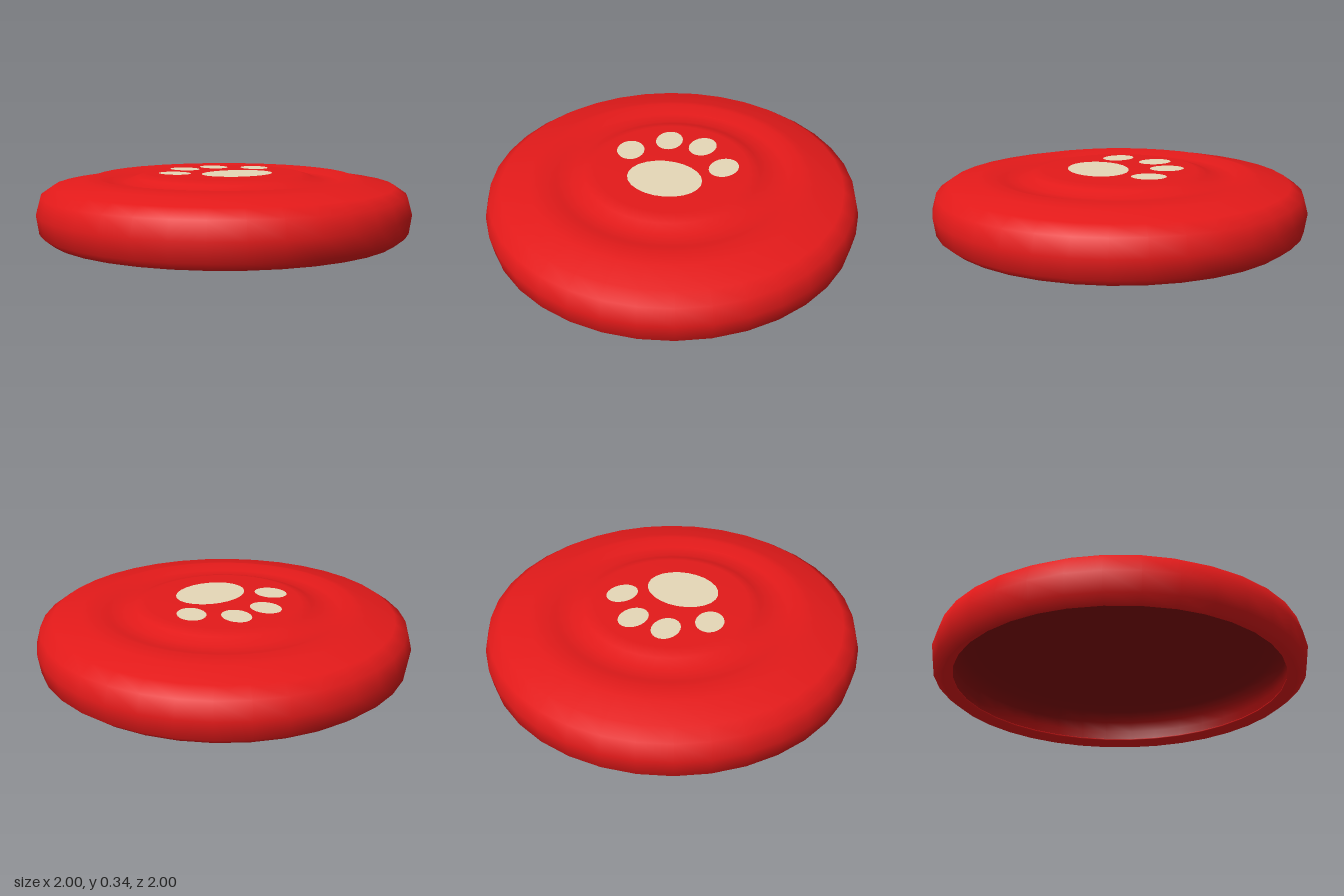
import * as THREE from 'three';

export function createModel() {
  const group = new THREE.Group();
  group.name = 'flyingDisc';
  const makeMaterial = (name, color) => {
    const material = new THREE.MeshStandardMaterial({ color });
    material.name = name;
    return material;
  };
  const red = makeMaterial('red plastic', 0xe41a1a);
  const darkRed = makeMaterial('dark red underside', 0x8c0a0a);
  const beige = makeMaterial('beige print', 0xe6d8b8);

  // Each shell surface is a smooth lathe; separate lathes keep the lip edges sharp
  const lathe = (name, material, profile) => {
    const points = profile.map(([r, y]) => new THREE.Vector2(r, y));
    const mesh = new THREE.Mesh(new THREE.LatheGeometry(points, 36), material);
    mesh.name = name;
    group.add(mesh);
  };

  // Rounded rim, ridge, shallow groove and raised centre
  lathe('outerShell', red, [
    [0.935, 0], [0.985, 0.04], [1, 0.14], [0.975, 0.23], [0.91, 0.275],
    [0.76, 0.3], [0.69, 0.321], [0.62, 0.295], [0.53, 0.295],
    [0.47, 0.319], [0.41, 0.336], [0, 0.336],
  ]);
  // Bevelled lower lip
  lathe('lip', red, [[0.886, 0.038], [0.885, 0.03], [0.935, 0]]);
  // Hollow underside
  lathe('innerShell', darkRed, [
    [0, 0.22], [0.5, 0.225], [0.75, 0.228], [0.85, 0.205],
    [0.895, 0.15], [0.9, 0.09], [0.886, 0.038],
  ]);

  // Paw print: thin flat ovals on the raised centre
  const oval = (name, x, z, rx, rz, tilt = 0) => {
    const geometry = new THREE.CircleGeometry(1, 24);
    geometry.scale(rx, rz, 1).rotateZ(tilt).rotateX(-Math.PI / 2);
    const mesh = new THREE.Mesh(geometry, beige);
    mesh.name = name;
    mesh.position.set(x, 0.34, z);
    group.add(mesh);
  };
  oval('pawPad', 0, 0.12, 0.2, 0.16);
  for (const [side, s] of [['left', 1], ['right', -1]]) {
    oval(side + 'InnerToe', s * 0.097, -0.235, 0.074, 0.092, s * -0.1);
    oval(side + 'OuterToe', s * 0.265, -0.075, 0.075, 0.092, s * -0.3);
  }
  return group;
}
